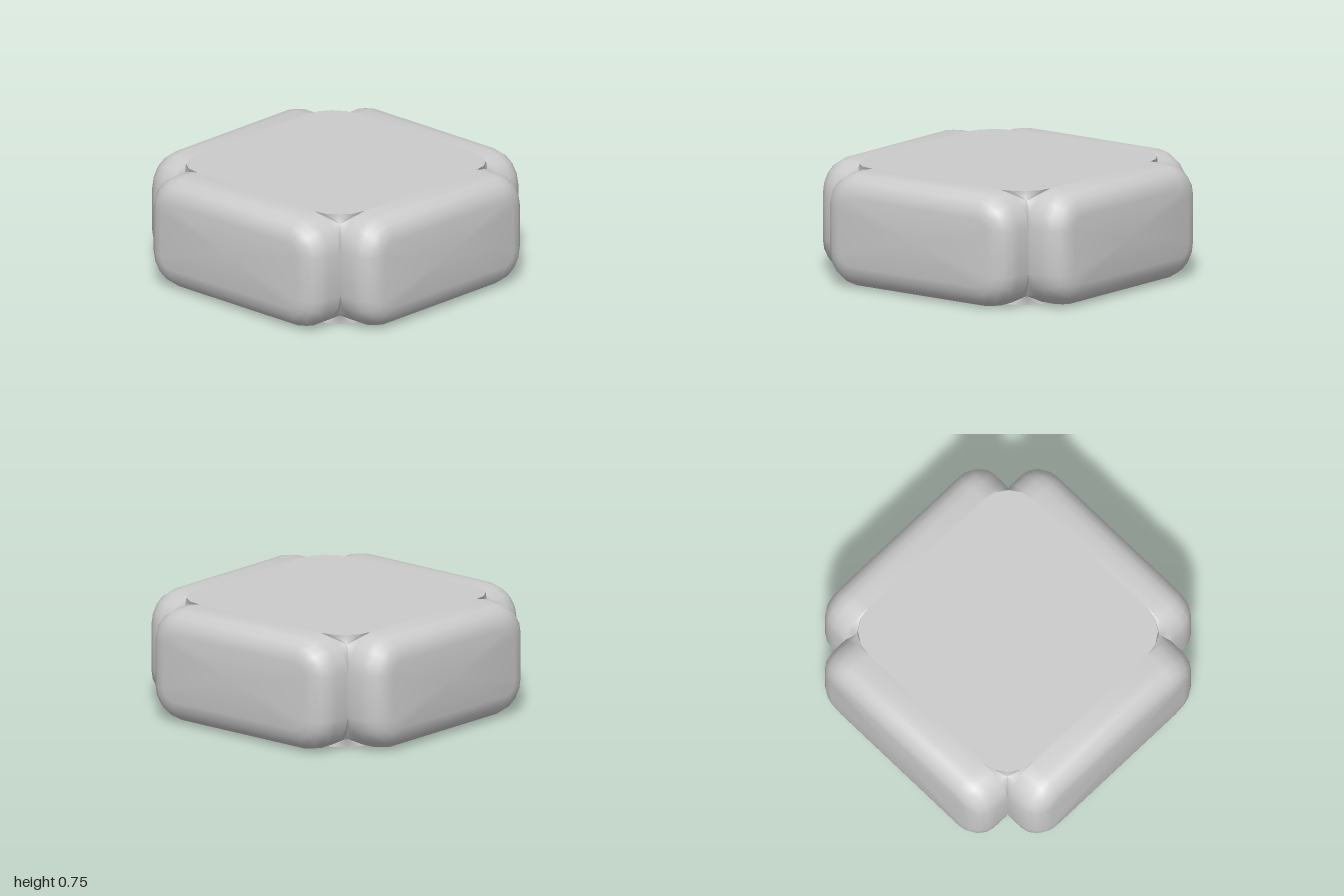
import * as THREE from 'three';
import { toCreasedNormals } from 'three/addons/utils/BufferGeometryUtils.js';

const W = 0.745;        // half width of the core and arms
const H = 0.3725;       // half height
const R = 0.225;        // corner radius of the arm section
const BEVEL = 0.15;     // rounding at the arm ends
const SEG = 4;          // segments per quarter arc

const material = new THREE.MeshStandardMaterial({ color: 0xcccccc });

// Rounded rectangle section, counter-clockwise
function section(hw, hh, r) {
  const points = [];
  [[1, 1], [-1, 1], [-1, -1], [1, -1]].forEach(([sx, sy], corner) => {
    for (let i = 0; i <= SEG; i++) {
      const a = (corner + i / SEG) * Math.PI / 2;
      points.push([sx * (hw - r) + r * Math.cos(a), sy * (hh - r) + r * Math.sin(a)]);
    }
  });
  return points;
}

function build(positions, index, crease) {
  const geometry = new THREE.BufferGeometry();
  geometry.setAttribute('position', new THREE.Float32BufferAttribute(positions, 3));
  geometry.setIndex(index);
  return toCreasedNormals(geometry, crease);
}

// Arm along +z: straight stub, rounded rim, flat end
function armGeometry() {
  const rings = [[0, W]];
  for (let i = 0; i <= SEG; i++) {
    const a = i / SEG * Math.PI / 2;
    rings.push([BEVEL * (1 - Math.cos(a)), 1 - BEVEL + BEVEL * Math.sin(a)]);
  }
  const positions = [], index = [];
  const n = 4 * (SEG + 1);
  rings.forEach(([inset, z]) => {
    section(W - inset, H - inset, R - inset).forEach(([x, y]) => positions.push(x, y, z));
  });
  const centre = positions.length / 3;
  positions.push(0, 0, 1);
  for (let k = 0; k < rings.length - 1; k++) {
    for (let i = 0; i < n; i++) {
      const j = (i + 1) % n;
      const a = k * n + i, b = k * n + j;
      index.push(a, b, b + n, a, b + n, a + n);
    }
  }
  const last = (rings.length - 1) * n;
  for (let i = 0; i < n; i++) index.push(centre, last + i, last + (i + 1) % n);
  return build(positions, index, 0.6);
}

// Three-pointed web filling a corner between two arms and a plate
function webGeometry(sx, sy, sz) {
  const positions = [], index = [];
  const add = (d) => positions.push(sx * (W - d[0]), sy * (H - d[1]), sz * (W - d[2]));
  add([0.06, 0.06, 0.06]);
  const n = 3 * SEG;
  for (let k = 0; k < 3; k++) {
    for (let i = 0; i < SEG; i++) {
      const a = i / SEG * Math.PI / 2;
      const d = [0, 0, 0];
      d[k] = R * (1 - Math.sin(a));
      d[(k + 1) % 3] = R * (1 - Math.cos(a));
      add(d);
    }
  }
  for (let i = 0; i < n; i++) {
    const a = 1 + i, b = 1 + (i + 1) % n;
    if (sx * sy * sz > 0) index.push(0, a, b);
    else index.push(0, b, a);
  }
  return build(positions, index, 1.2);
}

export function createModel() {
  const model = new THREE.Group();
  model.name = 'roundedCrossBlock';
  const add = (geometry, name) => {
    const mesh = new THREE.Mesh(geometry, material);
    mesh.name = name;
    mesh.position.y = H;
    model.add(mesh);
    return mesh;
  };

  // Four arms around the core
  const arm = armGeometry();
  ['frontArm', 'leftArm', 'backArm', 'rightArm'].forEach((name, i) => {
    add(arm, name).rotation.y = i * Math.PI / 2;
  });

  // Top and bottom plates
  const outline = new THREE.Shape(section(W, W, R).map(([x, y]) => new THREE.Vector2(x, y)));
  const plate = new THREE.ShapeGeometry(outline);
  for (const s of [1, -1]) {
    const mesh = add(plate, s > 0 ? 'topPlate' : 'bottomPlate');
    mesh.rotation.x = -s * Math.PI / 2;
    mesh.position.y = H + s * H;
  }

  // Eight corner webs
  for (const sx of [1, -1])
    for (const sy of [1, -1])
      for (const sz of [1, -1]) add(webGeometry(sx, sy, sz), 'cornerWeb');

  return model;
}
